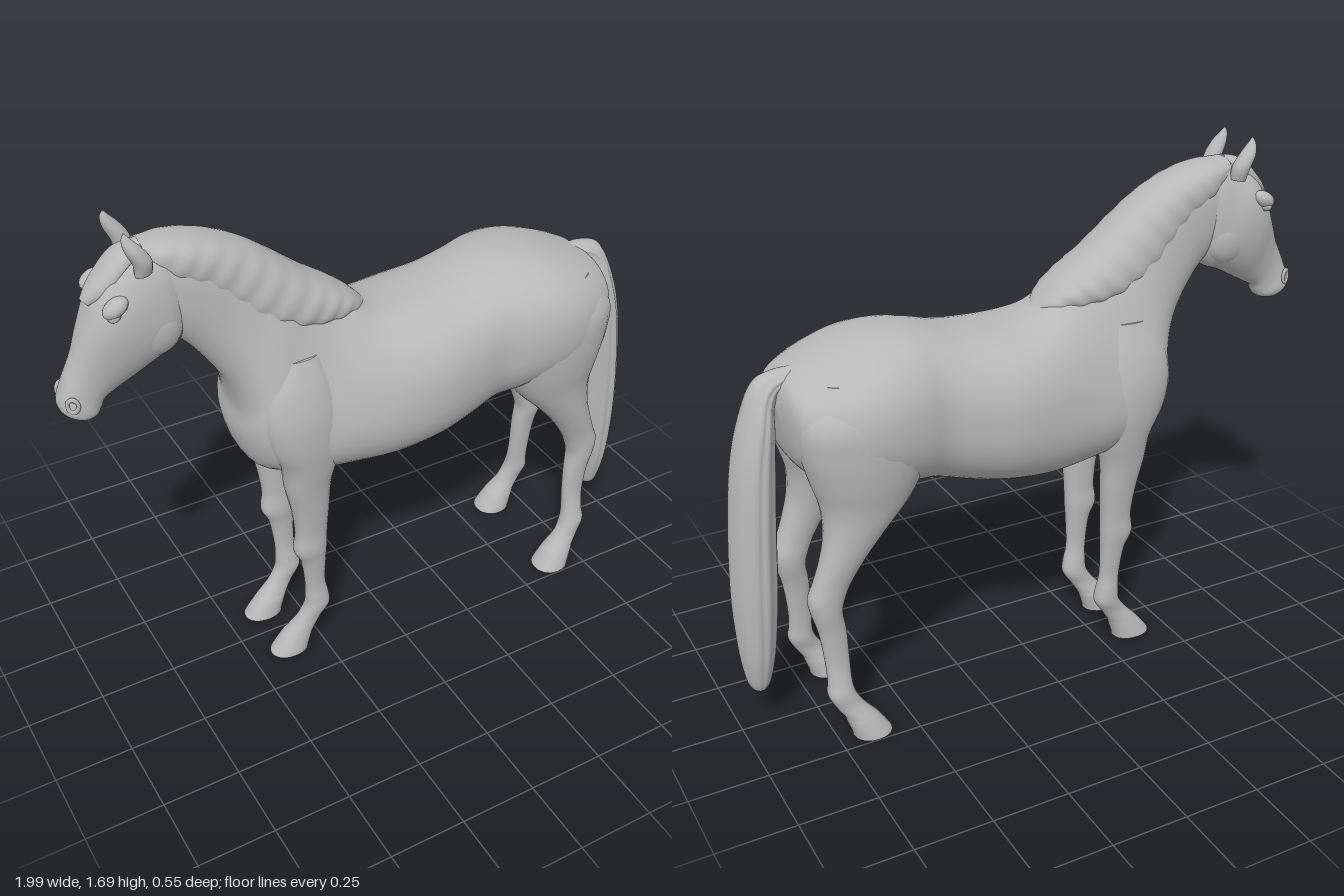
import * as THREE from 'three';

const coat = new THREE.MeshStandardMaterial({ color: 0xb8b8b8 });
coat.name = 'plain grey';

// Smooth skin over oval sections. Each row: [ax, ay, bx, by, halfWidth, bottomBias, zCentre],
// where a and b are the two ends of the section in the plane of symmetry.
function loft(name, rows, { power = 1, side = 1, steps = 6, around = 32, ripple = null } = {}) {
  const get = (i, c) => rows[Math.min(Math.max(i, 0), rows.length - 1)][c] || 0;
  const spline = (i, f, c) => {
    const [p, q, r, s] = [get(i - 1, c), get(i, c), get(i + 1, c), get(i + 2, c)];
    return q + 0.5 * f * (r - p + f * (2 * p - 5 * q + 4 * r - s + f * (3 * (q - r) + s - p)));
  };
  const bend = v => Math.sign(v) * Math.abs(v) ** power;
  const pos = [], index = [], rings = (rows.length - 1) * steps + 1;
  for (let n = 0; n < rings; n++) {
    const i = Math.min(Math.floor(n / steps), rows.length - 2), f = n / steps - i;
    const [ax, ay, bx, by, w, k, zc] = [0, 1, 2, 3, 4, 5, 6].map(c => spline(i, f, c));
    for (let j = 0; j < around; j++) {
      const t = j / around * Math.PI * 2;
      const c = bend(Math.cos(t)), s = bend(Math.sin(t));
      const grow = ripple ? ripple(n / (rings - 1), t) : 1;
      pos.push((ax + bx) / 2 + (ax - bx) / 2 * c, (ay + by) / 2 + (ay - by) / 2 * c,
        side * zc + Math.max(w, 0.002) * s * (1 - k * c) * grow);
    }
  }
  for (let n = 0; n < rings - 1; n++) {
    for (let j = 0; j < around; j++) {
      const a = n * around + j, b = n * around + (j + 1) % around;
      index.push(a, a + around, b, b, a + around, b + around);
    }
  }
  // end caps with their own rims, so soles stay crisp
  for (const ring of [0, rings - 1]) {
    const base = pos.length / 3, mid = [0, 0, 0];
    for (let j = 0; j < around; j++) {
      for (let c = 0; c < 3; c++) {
        const v = pos[(ring * around + j) * 3 + c];
        pos.push(v);
        mid[c] += v / around;
      }
    }
    pos.push(...mid);
    for (let j = 0; j < around; j++) {
      const a = base + j, b = base + (j + 1) % around;
      if (ring === 0) index.push(base + around, a, b);
      else index.push(base + around, b, a);
    }
  }
  const geo = new THREE.BufferGeometry();
  geo.setAttribute('position', new THREE.Float32BufferAttribute(pos, 3));
  geo.setIndex(index);
  geo.computeVertexNormals();
  const mesh = new THREE.Mesh(geo, coat);
  mesh.name = name;
  return mesh;
}

function blob(name, x, y, z, sx, sy, sz, tilt = 0) {
  const mesh = new THREE.Mesh(new THREE.SphereGeometry(1, 20, 14), coat);
  mesh.position.set(x, y, z);
  mesh.scale.set(sx, sy, sz);
  mesh.rotation.z = tilt;
  mesh.name = name;
  return mesh;
}

// Level leg sections: [y, frontX, backX, zCentre, halfWidth]
const leg = (name, rows, side) =>
  loft(name, rows.map(([y, f, b, z, w]) => [f, y, b, y, w, 0, z]), { side, power: 0.92, around: 24 });

export function createModel() {
  const horse = new THREE.Group();
  horse.name = 'horse';

  // rump, barrel, chest and neck in one skin
  horse.add(loft('bodyAndNeck', [
    [.82, 1.10, .81, 1.0, .05], [.80, 1.16, .79, .92, .17], [.75, 1.195, .73, .86, .225],
    [.65, 1.235, .65, .83, .265], [.55, 1.262, .55, .81, .277], [.45, 1.268, .45, .79, .265],
    [.36, 1.255, .36, .775, .243], [.26, 1.228, .26, .745, .255], [.14, 1.215, .13, .715, .272],
    [.04, 1.218, -.02, .70, .262, .03], [-.04, 1.24, -.17, .712, .235, .12],
    [-.10, 1.29, -.32, .735, .205, .25], [-.15, 1.33, -.44, .785, .182, .3],
    [-.21, 1.375, -.485, .9, .165, .35], [-.27, 1.425, -.48, 1.0, .148, .32],
    [-.34, 1.48, -.505, 1.1, .125, .22], [-.42, 1.535, -.55, 1.18, .108, .1],
    [-.51, 1.58, -.60, 1.25, .098], [-.60, 1.605, -.645, 1.3, .09], [-.68, 1.61, -.70, 1.36, .08],
  ], { power: 0.84, around: 48 }));

  // head from poll to lips
  horse.add(loft('head', [
    [-.63, 1.59, -.61, 1.40, .05], [-.68, 1.615, -.62, 1.315, .085], [-.75, 1.605, -.655, 1.27, .098, .08],
    [-.82, 1.56, -.71, 1.247, .106, -.05], [-.873, 1.485, -.77, 1.215, .097, -.12],
    [-.912, 1.40, -.825, 1.185, .073, -.1], [-.943, 1.32, -.865, 1.163, .058],
    [-.977, 1.25, -.878, 1.138, .055], [-.998, 1.195, -.892, 1.121, .06],
    [-1.0, 1.165, -.92, 1.114, .053], [-.99, 1.143, -.95, 1.118, .025],
  ], { power: 0.88 }));

  // forelock lying on the forehead
  horse.add(loft('forelock', [
    [-.72, 1.625, -.72, 1.57, .03], [-.79, 1.605, -.77, 1.54, .055],
    [-.86, 1.535, -.82, 1.49, .05], [-.897, 1.485, -.87, 1.46, .02],
  ], { around: 20, ripple: (u, t) => 1 + 0.06 * Math.sin(9 * t) }));

  // mane draped over both sides of the crest, with wavy locks
  horse.add(loft('mane', [
    [-.03, 1.235, -.06, 1.20, .04], [-.08, 1.285, -.12, 1.215, .09], [-.15, 1.34, -.2, 1.22, .115, .08],
    [-.23, 1.397, -.31, 1.235, .123, .12], [-.33, 1.478, -.42, 1.285, .118, .1],
    [-.42, 1.543, -.50, 1.37, .106, .08], [-.52, 1.59, -.575, 1.44, .097],
    [-.62, 1.616, -.65, 1.49, .088], [-.72, 1.62, -.72, 1.55, .055],
  ], { power: 0.85, steps: 9, ripple: (u, t) => 1 + 0.025 * Math.sin(u * 75 + 3 * Math.cos(t)) }));

  // tail: a short dock, then a long ridged fall of hair
  horse.add(loft('tail', [
    [.72, 1.13, .74, 1.195, .035], [.79, 1.13, .81, 1.19, .042], [.815, 1.08, .87, 1.165, .055],
    [.82, 1.0, .915, 1.07, .08], [.828, .87, .957, .92, .092], [.84, .68, .982, .70, .095],
    [.85, .48, .993, .48, .09], [.868, .30, .987, .30, .073], [.888, .19, .973, .19, .047],
    [.905, .145, .957, .145, .028], [.92, .135, .94, .135, .01],
  ], { power: 1.12, steps: 8, around: 48, ripple: (u, t) => 1 + 0.05 * Math.cos(10 * t) }));

  horse.add(blob('sheath', .41, .79, 0, .075, .038, .04, -0.2));

  for (const side of [1, -1]) {
    const tag = side > 0 ? 'Near' : 'Far';

    // shoulder, foreleg and hoof
    horse.add(leg('frontLeg' + tag, [
      [1.18, -.37, -.25, .13, .03], [1.08, -.43, -.21, .14, .058], [.98, -.445, -.185, .142, .075],
      [.88, -.425, -.18, .14, .076], [.79, -.385, -.2, .135, .068], [.70, -.372, -.22, .13, .057],
      [.60, -.35, -.225, .125, .048], [.50, -.338, -.23, .12, .041], [.43, -.345, -.232, .118, .042],
      [.37, -.32, -.235, .116, .034], [.27, -.306, -.236, .112, .027], [.21, -.305, -.225, .11, .033],
      [.165, -.31, -.222, .108, .036], [.12, -.338, -.25, .105, .031], [.08, -.375, -.275, .102, .037],
      [.06, -.393, -.285, .1, .042], [.01, -.432, -.302, .1, .05], [0, -.435, -.303, .1, .05],
    ], side));

    // thigh, hock, hind cannon and hoof
    horse.add(leg('hindLeg' + tag, [
      [1.18, .50, .72, .13, .07], [1.08, .42, .795, .14, .122], [.98, .39, .795, .142, .128],
      [.88, .42, .77, .142, .118], [.79, .47, .745, .148, .094], [.70, .555, .745, .157, .072],
      [.62, .622, .765, .16, .057], [.55, .667, .79, .158, .048], [.50, .69, .808, .156, .047],
      [.45, .703, .80, .157, .044], [.38, .695, .782, .16, .034], [.28, .692, .77, .164, .028],
      [.21, .692, .768, .172, .032], [.165, .685, .772, .178, .037], [.12, .662, .752, .183, .034],
      [.08, .63, .727, .186, .043], [.06, .613, .72, .187, .049], [.01, .58, .703, .189, .06],
      [0, .578, .702, .189, .06],
    ], side));

    // ears leaning slightly forward
    horse.add(loft('ear' + tag, [
      [-.71, 1.56, -.76, 1.55, .024, 0, .07], [-.712, 1.60, -.765, 1.59, .03, 0, .078],
      [-.737, 1.64, -.785, 1.635, .026, 0, .08], [-.763, 1.67, -.79, 1.667, .014, 0, .077],
      [-.778, 1.688, -.782, 1.688, .003, 0, .074],
    ], { side, around: 16 }));

    // eyes under soft brows, round cheeks, nostril rims
    horse.add(blob('brow' + tag, -.83, 1.485, side * .088, .04, .025, .028, 0.5));
    horse.add(blob('eye' + tag, -.838, 1.462, side * .092, .02, .016, .02, 0.5));
    horse.add(blob('cheek' + tag, -.715, 1.37, side * .055, .085, .09, .048));
    const nostril = new THREE.Mesh(new THREE.TorusGeometry(.016, .006, 8, 18), coat);
    nostril.position.set(-.972, 1.19, side * .052);
    nostril.rotation.y = -side * 0.5;
    nostril.scale.y = 1.3;
    nostril.name = 'nostril' + tag;
    horse.add(nostril);
  }
  return horse;
}
